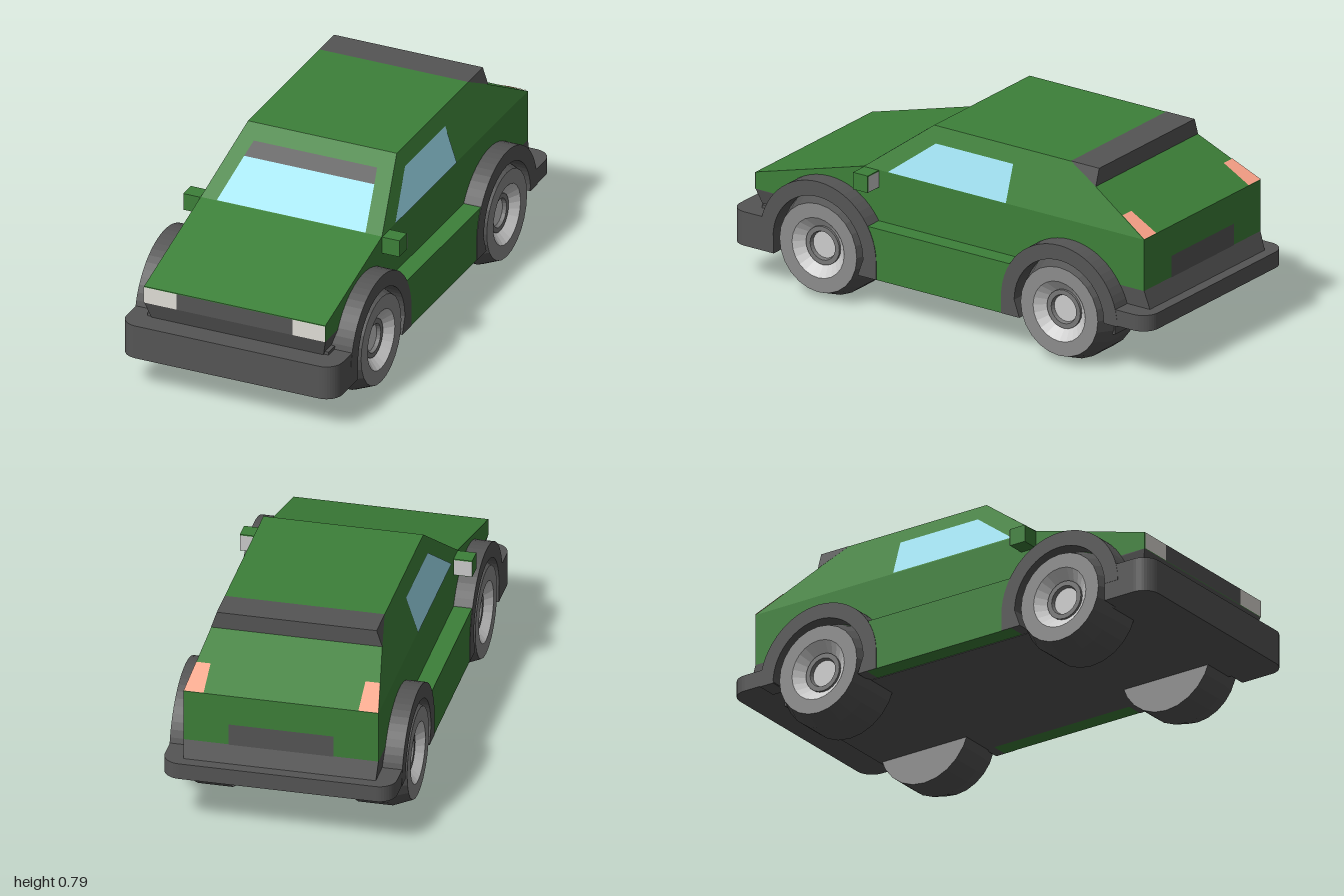
import * as THREE from 'three';
import { ConvexGeometry } from 'three/addons/geometries/ConvexGeometry.js';

const mat = (color) => new THREE.MeshStandardMaterial({ color, flatShading: true, side: THREE.DoubleSide });
const PAINT = mat(0x3d8039), DARK = mat(0x555555), GLASS = mat(0x9fe0f0), LAMP = mat(0xe0ddd6);
const TAIL = mat(0xffa58a), RIM = mat(0xbcbcbc), SIDEWALL = mat(0x8c8c8c), HUB = mat(0x787878);

export function createModel() {
  const car = new THREE.Group();
  car.name = 'car';

  const add = (name, geometry, material, parent = car) => {
    const mesh = new THREE.Mesh(geometry, material);
    mesh.name = name;
    parent.add(mesh);
    return mesh;
  };

  // Box given by its limits on each axis
  const box = (name, [x0, x1], [y0, y1], [z0, z1], material) =>
    add(name, new THREE.BoxGeometry(Math.abs(x1 - x0), y1 - y0, z1 - z0), material)
      .position.set((x0 + x1) / 2, (y0 + y1) / 2, (z0 + z1) / 2);

  // Convex solid, mirrored left to right, from [x, y, z] points
  const solid = (name, points, material) => add(name, new ConvexGeometry(
    points.flatMap(([x, y, z]) => [new THREE.Vector3(x, y, z), new THREE.Vector3(-x, y, z)])), material);

  // Flat four-cornered panel, lifted slightly off the surface under it
  const panel = (name, corners, material, lift = 0.003) => {
    const g = new THREE.BufferGeometry();
    g.setAttribute('position', new THREE.Float32BufferAttribute(corners.flat(), 3));
    g.setIndex([0, 1, 2, 0, 2, 3]);
    g.computeVertexNormals();
    const n = g.attributes.normal;
    g.translate(n.getX(0) * lift, n.getY(0) * lift, n.getZ(0) * lift);
    return add(name, g, material);
  };
  // Same panel on either side, s = 1 left or -1 right
  const sidePanel = (name, s, corners, material) => {
    const c = corners.map(([x, y, z]) => [x * s, y, z]);
    return panel(name, s > 0 ? c : c.reverse(), material);
  };

  // Lower body and tapered cabin
  solid('lowerBody', [[0.39, 0.36, 0.93], [0.39, 0.43, 0.93], [0.39, 0.575, 0.41],
    [0.39, 0.575, -0.93], [0.39, 0.36, -0.93]], PAINT);
  solid('cabin', [[0.39, 0.575, 0.41], [0.32, 0.79, 0.125], [0.32, 0.79, -0.54], [0.39, 0.575, -0.93]], PAINT);
  solid('spoiler', [[0.32, 0.791, -0.53], [0.32, 0.791, -0.665], [0.343, 0.722, -0.665]], DARK);

  // Dark underbody
  solid('sillTrim', [[0.39, 0.36, 0.93], [0.39, 0.36, -0.93], [0.37, 0.285, 0.905], [0.385, 0.285, -0.955]], DARK);
  box('chassis', [-0.39, 0.39], [0.145, 0.3], [-0.79, 0.9], DARK);

  // Bumpers with rounded outer corners
  const bumper = (name, bottom, turn) => {
    const w = 0.465, r = 0.07, shape = new THREE.Shape();
    shape.moveTo(-w, 0.79).lineTo(w, 0.79).lineTo(w, 1 - r);
    shape.absarc(w - r, 1 - r, r, 0, Math.PI / 2);
    shape.absarc(r - w, 1 - r, r, Math.PI / 2, Math.PI);
    const g = new THREE.ExtrudeGeometry(shape, { depth: 0.287 - bottom, bevelEnabled: false, curveSegments: 5 });
    add(name, g.rotateX(Math.PI / 2).translate(0, 0.287, 0).rotateY(turn), DARK);
  };
  bumper('frontBumper', 0.145, 0);
  bumper('rearBumper', 0.22, Math.PI);

  // Front and rear panels
  panel('grille', [[-0.25, 0.36, 0.93], [0.25, 0.36, 0.93], [0.25, 0.428, 0.93], [-0.25, 0.428, 0.93]], DARK);
  panel('rearPlate', [[0.21, 0.36, -0.93], [-0.21, 0.36, -0.93], [-0.21, 0.45, -0.93], [0.21, 0.45, -0.93]], DARK);
  panel('windshield', [[-0.32, 0.575, 0.41], [0.32, 0.575, 0.41], [0.28, 0.7, 0.244], [-0.28, 0.7, 0.244]], GLASS);
  panel('windshieldBand', [[-0.28, 0.7, 0.244], [0.28, 0.7, 0.244], [0.265, 0.743, 0.187], [-0.265, 0.743, 0.187]], DARK);

  // Wheel profiles as [radius, distance from the car's centre line]
  const wheelParts = [
    ['innerFace', SIDEWALL, [[0, 0.25], [0.215, 0.25]]],
    ['tyre', DARK, [[0.215, 0.25], [0.215, 0.39], [0.185, 0.465]]],
    ['sidewall', SIDEWALL, [[0.185, 0.465], [0.125, 0.465]]],
    ['rim', RIM, [[0.125, 0.465], [0.08, 0.425]]],
    ['hubRing', HUB, [[0.08, 0.425], [0.08, 0.435], [0.06, 0.435], [0.055, 0.42]]],
    ['hubCap', RIM, [[0.055, 0.42], [0, 0.42]]],
  ];
  const wheelY = 0.217, wheelZ = 0.577;

  for (const s of [1, -1]) {
    const side = s > 0 ? 'left' : 'right';

    // Lamps, window, mirror and skirt
    sidePanel(side + 'Headlight', s, [[0.25, 0.36, 0.93], [0.39, 0.36, 0.93], [0.39, 0.428, 0.93], [0.25, 0.428, 0.93]], LAMP);
    sidePanel(side + 'TailLight', s, [[0.39, 0.575, -0.93], [0.31, 0.575, -0.93], [0.31, 0.641, -0.81], [0.368, 0.641, -0.81]], TAIL);
    sidePanel(side + 'Window', s, [[0.39, 0.576, 0.295], [0.39, 0.576, -0.27], [0.341, 0.725, -0.27], [0.341, 0.725, 0.1]], GLASS);
    box(side + 'Mirror', [s * 0.385, s * 0.465], [0.502, 0.573], [0.34, 0.41], PAINT);
    sidePanel(side + 'MirrorGlass', s, [[0.465, 0.505, 0.34], [0.393, 0.505, 0.34], [0.393, 0.57, 0.34], [0.465, 0.57, 0.34]], RIM);
    box(side + 'Skirt', [s * 0.385, s * 0.464], [0.147, 0.362], [-0.345, 0.345], PAINT);

    for (const e of [1, -1]) {
      const end = e > 0 ? 'Front' : 'Rear';

      // Wheel arch: half ring with a leg down to the skirt
      const arch = new THREE.Shape();
      arch.absarc(0, wheelY, 0.278, 0, Math.PI);
      arch.lineTo(-0.278, 0.147).lineTo(-0.19, 0.147).lineTo(-0.215, wheelY);
      arch.absarc(0, wheelY, 0.215, Math.PI, 0, true);
      const g = new THREE.ExtrudeGeometry(arch, { depth: 0.09, bevelEnabled: false, curveSegments: 14 });
      g.translate(0, 0, -0.045).rotateY(-e * Math.PI / 2).translate(s * 0.421, 0, e * wheelZ);
      add(side + end + 'Arch', g, DARK);

      // Wheel
      const wheel = new THREE.Group();
      wheel.name = side + end + 'Wheel';
      for (const [name, material, pts] of wheelParts) {
        add(name, new THREE.LatheGeometry(pts.map(([r, x]) => new THREE.Vector2(r, x)), 24), material, wheel);
      }
      wheel.rotation.z = -s * Math.PI / 2;
      wheel.position.set(0, wheelY, e * wheelZ);
      car.add(wheel);
    }
  }
  return car;
}
